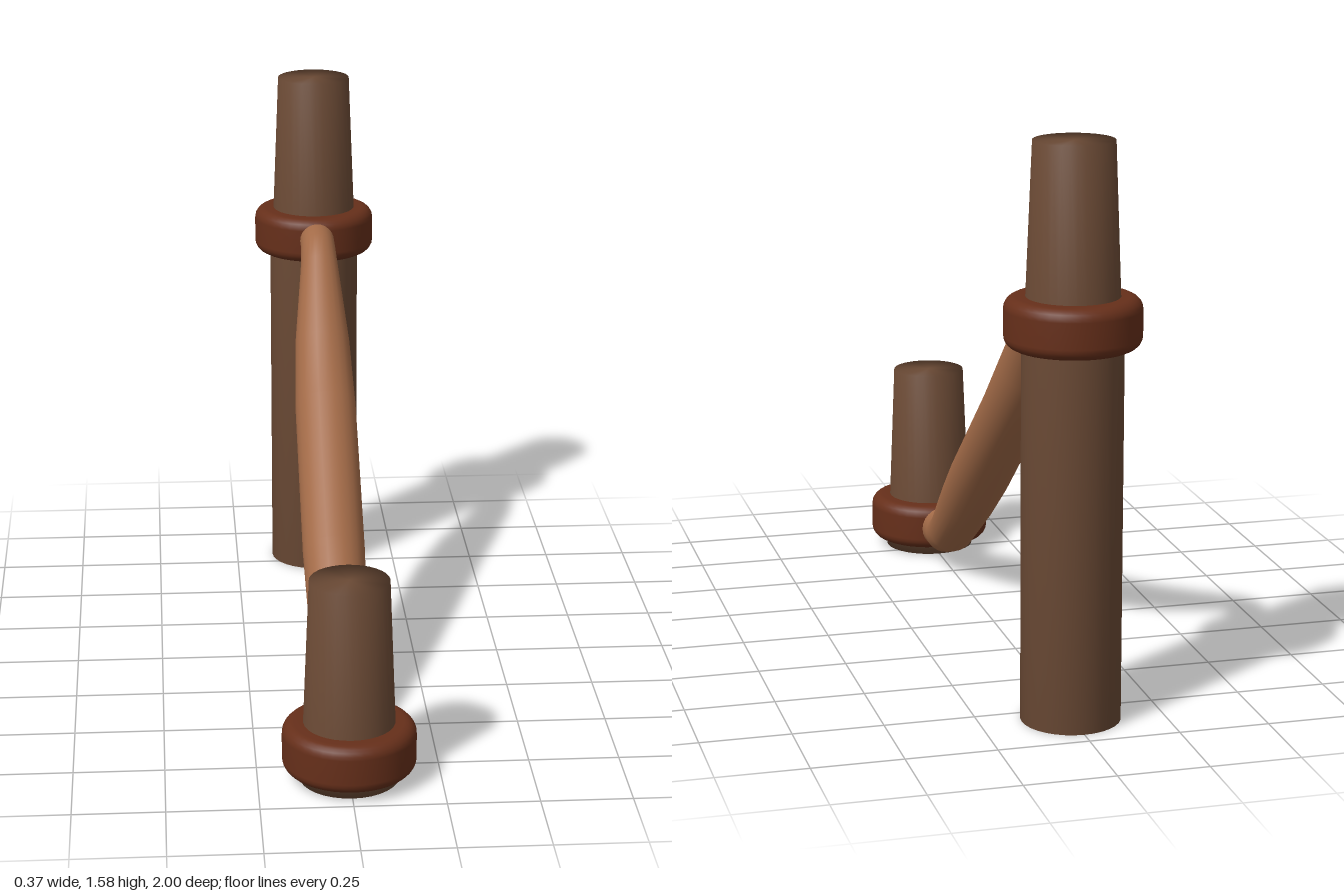
import * as THREE from 'three';

const wood = new THREE.MeshStandardMaterial({ color: 0x6b4a35, roughness: 0.9 });
const band = new THREE.MeshStandardMaterial({ color: 0x662f1a, roughness: 0.9 });
const pale = new THREE.MeshStandardMaterial({ color: 0xa36b48, roughness: 0.9 });

function lathe(name, points, material, segments = 32) {
  const geometry = new THREE.LatheGeometry(points.map(([r, y]) => new THREE.Vector2(r, y)), segments);
  const mesh = new THREE.Mesh(geometry, material);
  mesh.name = name;
  return mesh;
}

// Straight post below the collar, tapered peg above it
function createPost(name, z, base) {
  const group = new THREE.Group();
  group.name = name;
  group.position.z = z;
  group.add(lathe(name + 'Shaft', [
    [0, 0], [0.136, 0], [0.136, base + 0.1], [0.128, base + 0.1], [0.109, base + 0.575], [0, base + 0.575],
  ], wood));

  // Collar: a ring with rounded outer corners
  const collar = [[0.12, 0.028], [0.15, 0.028]];
  const corner = 0.033;
  for (const [cy, start] of [[0.061, -Math.PI / 2], [0.132, 0]]) {
    for (let i = 0; i <= 5; i++) {
      const a = start + (i / 5) * Math.PI / 2;
      collar.push([0.15 + corner * Math.cos(a), cy + corner * Math.sin(a)]);
    }
  }
  collar.push([0.12, 0.165]);
  const ring = lathe(name + 'Collar', collar, band, 40);
  ring.position.y = base;
  group.add(ring);
  return group;
}

// Swelling arm swept through round sections of [z, y, radius]
function createArm() {
  const sections = [
    [0.637, 0.1, 0.065], [0.59, 0.1, 0.064], [0.515, 0.13, 0.07],
    [0.3, 0.295, 0.085], [0.17, 0.398, 0.09], [-0.22, 0.71, 0.09],
    [-0.37, 0.865, 0.081], [-0.52, 1.06, 0.056], [-0.58, 1.097, 0.052], [-0.64, 1.102, 0.052],
  ];
  const sides = 24;
  const last = sections.length - 1;
  const positions = [];
  const index = [];
  const segment = (i) => {
    const [a, b] = [sections[i], sections[i + 1]];
    return new THREE.Vector2(b[0] - a[0], b[1] - a[1]).normalize();
  };
  const addRing = (i) => {
    const [z, y, r] = sections[i];
    // End sections are cut square to the collars
    const t = i === 0 || i === last
      ? new THREE.Vector2(-1, 0)
      : segment(i - 1).add(segment(i)).normalize();
    for (let k = 0; k < sides; k++) {
      const a = (k / sides) * Math.PI * 2;
      const s = r * Math.sin(a);
      positions.push(r * Math.cos(a), y - t.x * s, z + t.y * s);
    }
  };
  sections.forEach((_, i) => addRing(i));
  for (let i = 0; i < last; i++) {
    for (let k = 0; k < sides; k++) {
      const next = (k + 1) % sides;
      const [p, q] = [i * sides + k, i * sides + next];
      index.push(p, p + sides, q, q, p + sides, q + sides);
    }
  }
  // Flat end caps
  for (const i of [0, last]) {
    const start = positions.length / 3;
    addRing(i);
    positions.push(0, sections[i][1], sections[i][0]);
    for (let k = 0; k < sides; k++) {
      const [p, q] = [start + k, start + (k + 1) % sides];
      index.push(start + sides, ...(i === 0 ? [p, q] : [q, p]));
    }
  }
  const geometry = new THREE.BufferGeometry();
  geometry.setAttribute('position', new THREE.Float32BufferAttribute(positions, 3));
  geometry.setIndex(index);
  geometry.computeVertexNormals();
  const arm = new THREE.Mesh(geometry, pale);
  arm.name = 'slopingArm';
  return arm;
}

export function createModel() {
  const model = new THREE.Group();
  model.name = 'slopingRail';
  model.add(createPost('frontPost', 0.817, 0), createPost('backPost', -0.817, 1), createArm());
  return model;
}
